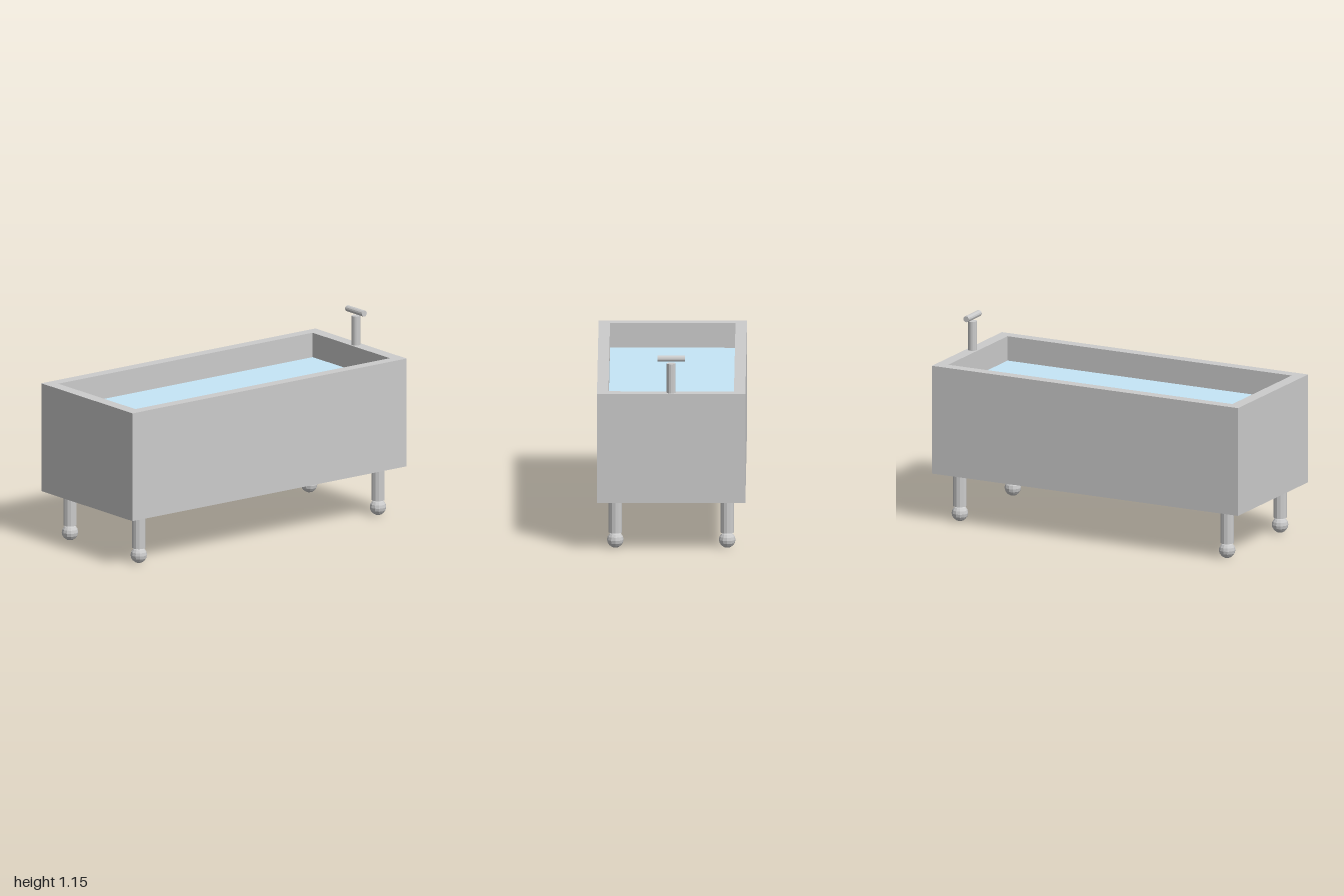
import * as THREE from 'three';

const grey = new THREE.MeshStandardMaterial({ color: 0xcccccc, flatShading: true });
const blue = new THREE.MeshStandardMaterial({ color: 0xc6e6f7 });

function add(parent, name, geometry, x, y, z, material = grey) {
  const mesh = new THREE.Mesh(geometry, material);
  mesh.name = name;
  mesh.position.set(x, y, z);
  parent.add(mesh);
  return mesh;
}

// Closed rectangular shell through rings of [half width, height, half depth]
function rectangularShell(rings) {
  const positions = [], index = [];
  for (const [x, y, z] of rings) positions.push(x, y, z, x, y, -z, -x, y, -z, -x, y, z);
  for (let r = 0; r < rings.length - 1; r++) {
    for (let i = 0; i < 4; i++) {
      const a = r * 4 + i, b = r * 4 + (i + 1) % 4;
      index.push(a, b, b + 4, a, b + 4, a + 4);
    }
  }
  const n = (rings.length - 1) * 4;
  index.push(0, 2, 1, 0, 3, 2, n, n + 1, n + 2, n, n + 2, n + 3);
  const geometry = new THREE.BufferGeometry();
  geometry.setAttribute('position', new THREE.Float32BufferAttribute(positions, 3));
  geometry.setIndex(index);
  const flat = geometry.toNonIndexed();
  flat.computeVertexNormals();
  return flat;
}

export function createModel() {
  const model = new THREE.Group();
  model.name = 'bathtub';

  // Tub: outer wall, flat rim, inner wall and floor
  add(model, 'tub', rectangularShell([
    [1, 0.29, 0.427], [1, 0.932, 0.427], [0.928, 0.932, 0.361], [0.928, 0.36, 0.361],
  ]), 0, 0, 0);

  // Water surface
  add(model, 'water', new THREE.PlaneGeometry(1.856, 0.722).rotateX(-Math.PI / 2), 0, 0.787, 0, blue);

  // Legs with ball feet
  const legGeometry = new THREE.CylinderGeometry(0.039, 0.039, 0.2, 12);
  const footGeometry = new THREE.SphereGeometry(0.048, 12, 8);
  for (const x of [-0.873, 0.873]) {
    for (const z of [-0.322, 0.322]) {
      const leg = new THREE.Group();
      leg.name = (z > 0 ? 'front' : 'back') + (x > 0 ? 'Left' : 'Right') + 'Leg';
      leg.position.set(x, 0, z);
      add(leg, 'post', legGeometry, 0, 0.19, 0);
      add(leg, 'ballFoot', footGeometry, 0, 0.048, 0);
      model.add(leg);
    }
  }

  // Tap: upright post with a short crossbar above it
  const tap = new THREE.Group();
  tap.name = 'tap';
  tap.position.set(0.963, 0.932, 0);
  add(tap, 'tapPost', new THREE.CylinderGeometry(0.026, 0.026, 0.172, 12), 0, 0.086, 0);
  add(tap, 'tapHandle', new THREE.CylinderGeometry(0.018, 0.018, 0.158, 12).rotateX(Math.PI / 2), 0, 0.2, 0);
  model.add(tap);

  return model;
}
